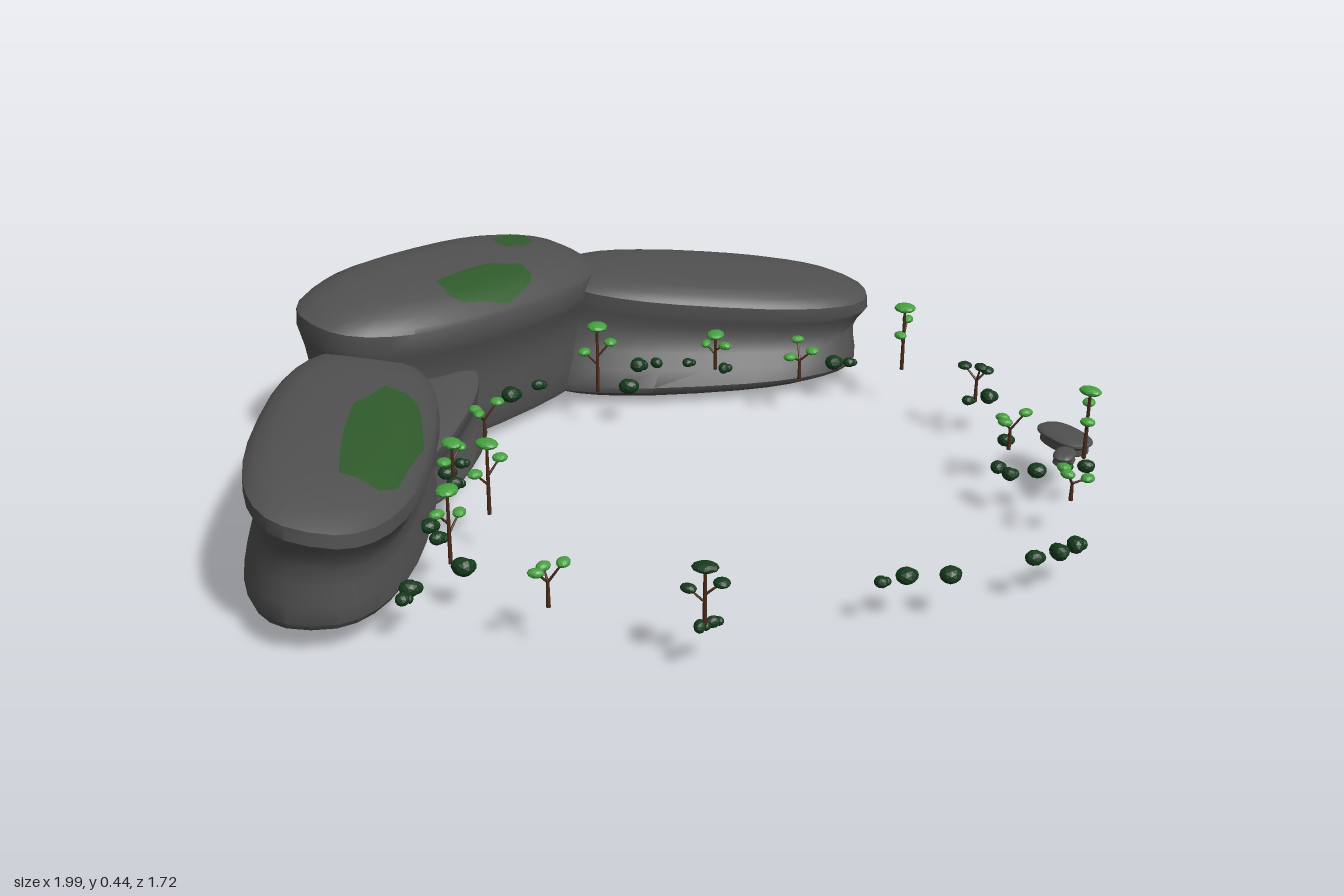
import * as THREE from 'three';
import { toCreasedNormals, mergeGeometries } from 'three/addons/utils/BufferGeometryUtils.js';

const mat = (color, extra = {}) => new THREE.MeshStandardMaterial({ color, ...extra });
const stone = mat(0x505050);
const moss = mat(0x2f5a2b, { side: THREE.DoubleSide });
const bushGreen = mat(0x153a1c, { flatShading: true });
const leafGreen = mat(0x46a03e, { flatShading: true });
const bark = mat(0x4a2c1c);

let seed = 7;
const rand = () => (seed = (seed * 16807) % 2147483647) / 2147483647;

// Skin over rings of points; the last ring is a point, and so is the first unless open
function loft(rings, open = false) {
  const n = rings[0].length, idx = [];
  for (let r = 0; r < rings.length - 1; r++)
    for (let i = 0; i < n; i++) {
      const a = r * n + i, b = r * n + (i + 1) % n;
      if (open || r > 0) idx.push(a, b, b + n);
      if (r < rings.length - 2) idx.push(a, b + n, a + n);
    }
  const g = new THREE.BufferGeometry();
  g.setAttribute('position', new THREE.Float32BufferAttribute(rings.flat(2), 3));
  g.setIndex(idx);
  return g;
}

// Oblong outline between an ellipse and a rectangle
const P = 2.5;
const outline = (a) => {
  const f = (c) => Math.sign(c) * Math.abs(c) ** (2 / P);
  return [f(Math.cos(a)), f(Math.sin(a))];
};

// Gently domed, tilted top of a rock
const topY = (o, u, v) => {
  const r = Math.min(1, (Math.abs(u / o.hl) ** P + Math.abs(v / o.hw) ** P) ** (1 / P));
  return o.top + o.slopeU * u + o.slopeV * v - o.drop * r ** 6;
};

// Rock slab: a waisted side wall below an overhanging rim
function rock(name, o) {
  const N = 32, rings = [];
  const ring = (fn) => rings.push(Array.from({ length: N }, (_, i) =>
    fn(...outline(-i / N * Math.PI * 2))));
  for (const s of [0, 0.4, 0.7, 0.88])
    ring((c, d) => [c * s * (o.hl + o.flare) + o.du, o.bottom + o.bowl * s ** 2,
      d * s * (o.hw + o.flare) + o.dv]);
  // height fraction, inset as a share of the half width
  for (const [t, inset] of [[0.03, 0.06], [0.1, 0.02], [0.3, 0.05], [0.5, 0.11], [0.68, 0.14],
    [0.82, 0.1], [0.93, 0.04], [1, 0]])
    ring((c, d) => {
      const k = 1 - t, w = inset * o.waist * o.hw - o.flare * k, foot = o.bottom + o.bowl;
      const rim = topY(o, c * o.hl, d * o.hw) - 0.1 * (o.top - o.bottom);
      return [c * (o.hl - w) + o.du * k, foot + t * (rim - foot), d * (o.hw - w) + o.dv * k];
    });
  for (const s of [0.995, 0.96, 0.88, 0.7, 0.4, 0])
    ring((c, d) => [c * s * o.hl, topY(o, c * s * o.hl, d * s * o.hw), d * s * o.hw]);
  const mesh = new THREE.Mesh(toCreasedNormals(loft(rings), 0.6), stone);
  mesh.name = name;
  const g = new THREE.Group();
  g.name = name + 'Group';
  g.position.set(o.x, 0, o.z);
  g.rotation.y = o.turn * Math.PI / 180;
  g.add(mesh);
  // Moss patches laid over the top: centre and half sizes along u and v
  for (const [u0, v0, a, b] of o.moss ?? []) {
    const patchRings = [1, 0.8, 0.6, 0.3, 0].map((s) => Array.from({ length: 14 }, (_, i) => {
      const [c, d] = outline(-i / 14 * Math.PI * 2 + 0.2);
      const w = s * (1 + 0.08 * Math.sin(i * 2.4));
      const u = u0 + c * a * w, v = v0 + d * b * w;
      return [u, topY(o, u, v) + 0.006, v];
    }));
    const geo = loft(patchRings, true);
    geo.computeVertexNormals();
    const patch = new THREE.Mesh(geo, moss);
    patch.name = 'mossPatch';
    g.add(patch);
  }
  return g;
}

// Small squashed blob used for leaves and bushes
function blob(x, y, z, r, h) {
  return new THREE.IcosahedronGeometry(1, 1).scale(r, h, r * (0.7 + 0.3 * rand()))
    .rotateY(rand() * 6).translate(x, y, z);
}

function branch(a, b, r) {
  const dir = b.clone().sub(a);
  const g = new THREE.CylinderGeometry(r * 0.7, r, dir.length(), 6);
  g.applyQuaternion(new THREE.Quaternion().setFromUnitVectors(
    new THREE.Vector3(0, 1, 0), dir.clone().normalize()));
  return g.translate(...a.clone().add(b).multiplyScalar(0.5).toArray());
}

// Slender tree: straight with side leaves, or forked into three stems
function tree([x, z, top, forked, dark]) {
  const y0 = 0.115, h = top - y0, wood = [], leaves = [];
  const at = (dx, t, dz) => new THREE.Vector3(x + dx, y0 + h * t, z + dz);
  const split = forked ? 0.5 : 0.95;
  wood.push(branch(at(0, 0, 0), at(0, split, 0), 0.005));
  if (!forked) leaves.push(blob(x, top - 0.008, z, 0.028, 0.011));
  const turn = rand() * 6, count = forked ? 3 : 2;
  for (let i = 0; i < count; i++) {
    const a = turn + i * Math.PI * 2 / count, d = 0.033;
    const t = forked ? 0.93 - 0.13 * i : 0.6 + 0.12 * i;
    const tip = at(Math.cos(a) * d, t, Math.sin(a) * d);
    wood.push(branch(at(0, forked ? split : t - 0.2, 0), tip, 0.003));
    leaves.push(blob(tip.x, tip.y, tip.z, 0.018, 0.01));
  }
  const g = new THREE.Group();
  g.name = 'tree';
  const trunk = new THREE.Mesh(mergeGeometries(wood), bark);
  trunk.name = 'trunk';
  const crown = new THREE.Mesh(mergeGeometries(leaves), dark ? bushGreen : leafGreen);
  crown.name = 'crown';
  g.add(trunk, crown);
  return g;
}

export function createModel() {
  const model = new THREE.Group();
  model.name = 'rockGarden';

  // Three large slabs in an arc, a low ledge between two of them and two small stones
  model.add(
    rock('leftSlab', { x: -0.74, z: 0.125, turn: 75, hl: 0.49, hw: 0.19, top: 0.34, bottom: 0.052,
      bowl: 0.01, slopeU: -0.03, slopeV: -0.2, drop: 0.045, du: 0.04, dv: -0.02, flare: 0.012,
      waist: 1, moss: [[-0.07, 0.09, 0.25, 0.08]] }),
    rock('middleSlab', { x: -0.39, z: -0.54, turn: 33, hl: 0.45, hw: 0.2, top: 0.425, bottom: 0.024,
      bowl: 0.012, slopeU: -0.06, slopeV: -0.12, drop: 0.06, du: 0, dv: 0, flare: -0.015,
      waist: 0.6, moss: [[0.005, 0.12, 0.14, 0.065], [0.245, -0.03, 0.055, 0.04]] }),
    rock('rightSlab', { x: 0.33, z: -0.66, turn: -7, hl: 0.435, hw: 0.185, top: 0.305, bottom: 0.008,
      bowl: 0.032, slopeU: -0.11, slopeV: -0.04, drop: 0.04, du: -0.07, dv: 0.03, flare: 0.03,
      waist: 1 }),
    rock('ledge', { x: -0.55, z: -0.18, turn: 63, hl: 0.28, hw: 0.125, top: 0.22, bottom: 0.05,
      bowl: 0.004, slopeU: 0.08, slopeV: -0.1, drop: 0.02, du: 0, dv: 0.01, flare: 0.01, waist: 0.8 }),
    rock('smallStone', { x: 0.945, z: 0.24, turn: 105, hl: 0.077, hw: 0.045, top: 0.145, bottom: 0.102,
      bowl: 0.004, slopeU: 0, slopeV: 0, drop: 0.008, du: 0, dv: 0, flare: -0.008, waist: 1 }),
    rock('pebble', { x: 0.905, z: 0.32, turn: 50, hl: 0.037, hw: 0.025, top: 0.135, bottom: 0.105,
      bowl: 0.003, slopeU: 0, slopeV: 0, drop: 0.008, du: 0, dv: 0, flare: 0, waist: 1 }));

  // Trees: x, z, top height, forked, dark
  [[-0.39, -0.14, 0.22, 1], [-0.06, -0.35, 0.3], [0.27, -0.41, 0.22], [0.46, -0.29, 0.22, 1],
    [0.74, -0.28, 0.295], [0.84, -0.04, 0.23, 1, 1], [0.8, 0.24, 0.22, 1], [0.95, 0.33, 0.295],
    [0.82, 0.52, 0.2, 1], [-0.45, 0.24, 0.295], [-0.57, 0.44, 0.295], [-0.5, 0.06, 0.22],
    [-0.41, 0.67, 0.23, 1], [-0.13, 0.83, 0.26, 0, 1]].forEach((t) => model.add(tree(t)));

  // Low dark bushes around the clearing: x, z
  [[-0.28, -0.38], [-0.2, -0.42], [0.08, -0.48], [0.13, -0.48], [0.21, -0.46], [0.02, -0.35],
    [0.29, -0.4], [0.58, -0.36], [0.62, -0.35], [0.82, -0.04], [0.88, -0.05], [0.81, 0.2],
    [0.73, 0.33], [0.74, 0.37], [0.81, 0.37], [0.88, 0.37], [0.93, 0.38], [0.62, 0.75],
    [0.68, 0.74], [0.73, 0.72], [0.27, 0.76], [0.33, 0.75], [0.42, 0.77], [-0.11, 0.82],
    [-0.14, 0.83], [-0.59, 0.27], [-0.58, 0.33], [-0.55, 0.47], [-0.69, 0.57], [-0.67, 0.53],
    [-0.5, 0.08], [-0.47, -0.02], [-0.51, 0.02]].forEach(([x, z]) => {
    const r = 0.015 + 0.012 * rand();
    const bush = new THREE.Mesh(mergeGeometries([
      blob(x, 0.12, z, r, r * 0.8), blob(x + 0.014, 0.116, z - 0.006, r * 0.7, r * 0.6)]), bushGreen);
    bush.name = 'bush';
    model.add(bush);
  });
  return model;
}
